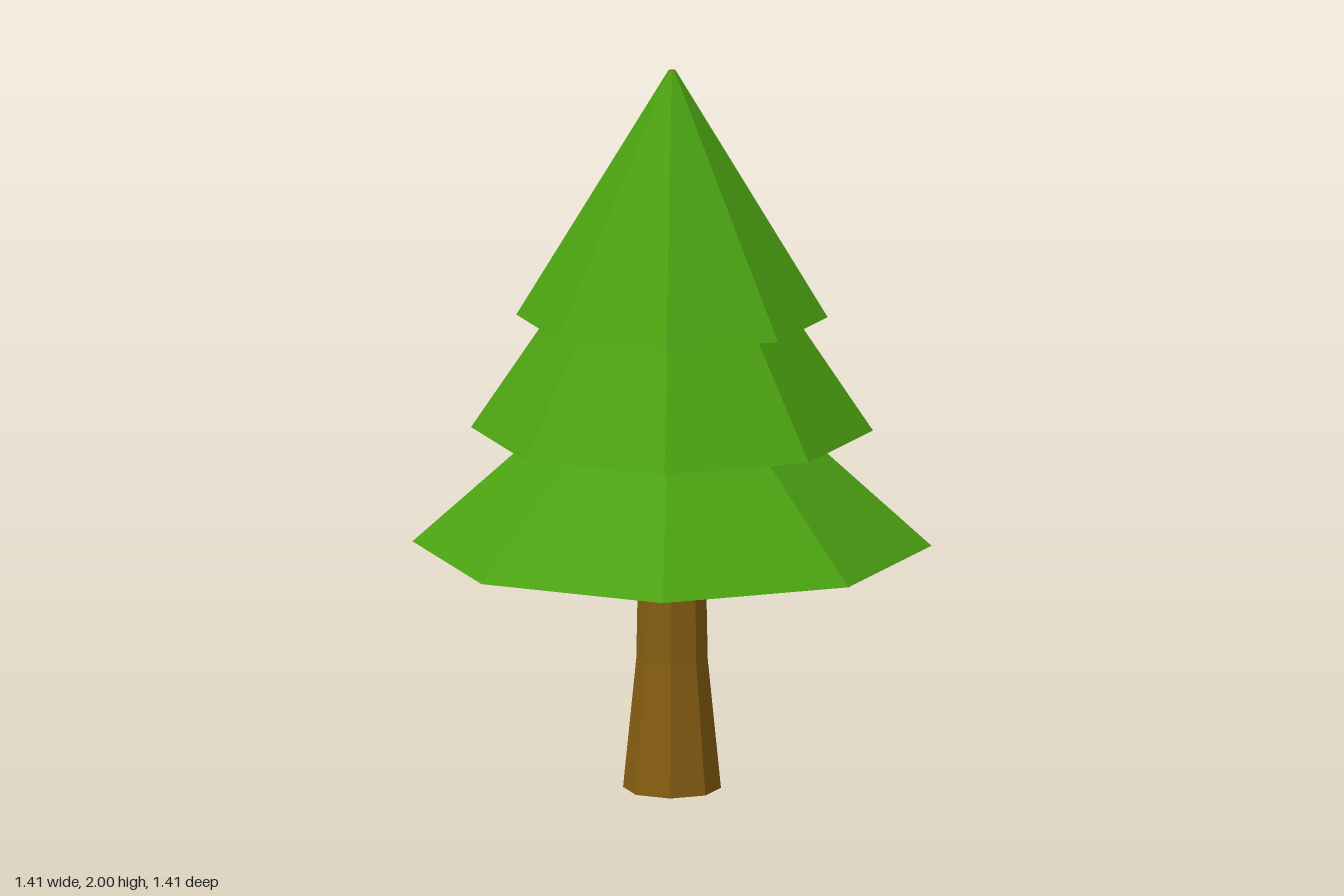
import * as THREE from 'three';

const SIDES = 8;

export function createModel() {
  const tree = new THREE.Group();
  tree.name = 'pineTree';

  const green = new THREE.MeshStandardMaterial({ color: 0x4ba211 });
  green.name = 'leafGreen';
  const brown = new THREE.MeshStandardMaterial({ color: 0x865e11 });
  brown.name = 'barkBrown';

  // Eight-sided tapered section; materials are [side, top cap, bottom cap]
  function section(name, y0, r0, y1, r1, materials, open = false) {
    const indexed = new THREE.CylinderGeometry(r1, r0, y1 - y0, SIDES, 1, open);
    const geometry = indexed.toNonIndexed();
    geometry.computeVertexNormals(); // flat facets
    const mesh = new THREE.Mesh(geometry, materials);
    mesh.name = name;
    mesh.position.y = (y0 + y1) / 2;
    tree.add(mesh);
  }

  // Trunk: flared foot with a green underside, then a nearly straight stem
  section('trunkFoot', 0, 0.133, 0.36, 0.097, [brown, brown, green]);
  section('trunkStem', 0.36, 0.097, 0.68, 0.091, [brown, brown, brown], true);

  // Foliage tiers, each tucked under the next, with a tiny bare tip
  section('lowerFoliage', 0.68, 0.705, 1.0, 0.35, [green, green, green]);
  section('middleFoliage', 1.0, 0.546, 1.315, 0.335, [green, green, green]);
  section('upperFoliage', 1.315, 0.423, 2.0, 0.01, [green, brown, green]);

  return tree;
}
